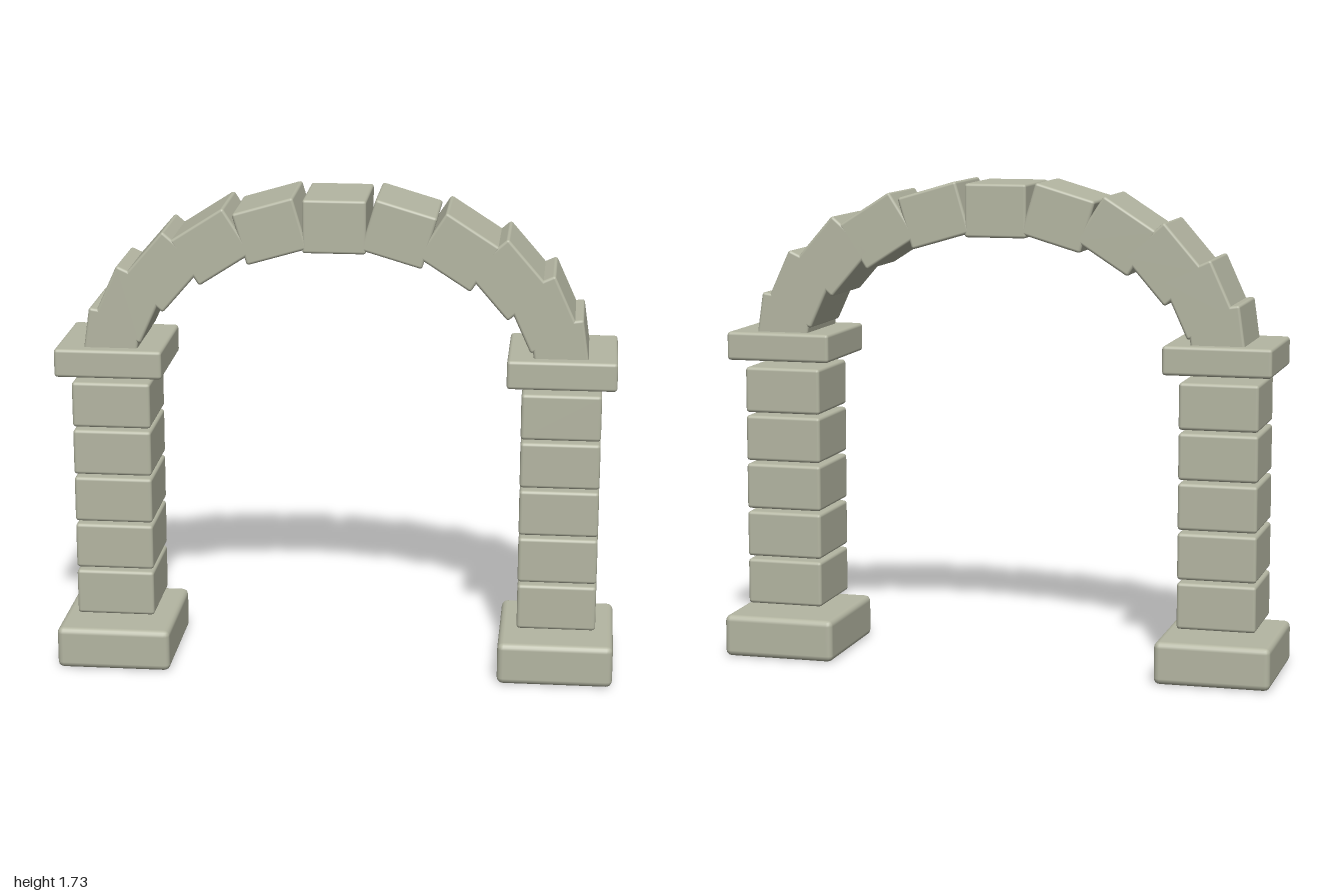
import * as THREE from 'three';
import { RoundedBoxGeometry } from 'three/addons/geometries/RoundedBoxGeometry.js';

export function createModel() {
  const group = new THREE.Group();
  group.name = 'stoneArch';
  const stone = new THREE.MeshStandardMaterial({ color: 0xb4b6a2 });
  stone.name = 'paleStone';

  // One softly bevelled block, centred at (x, y)
  const block = (parent, name, [w, h, d], bevel, x, y, tilt = 0) => {
    const mesh = new THREE.Mesh(new RoundedBoxGeometry(w, h, d, 2, bevel), stone);
    mesh.name = name;
    mesh.position.set(x, y, 0);
    mesh.rotation.z = tilt;
    parent.add(mesh);
  };

  // Two pillars: plinth, five separate courses and a cap
  for (const side of [-1, 1]) {
    const pillar = new THREE.Group();
    pillar.name = side > 0 ? 'leftPillar' : 'rightPillar';
    const x = side * 0.795;
    block(pillar, 'plinth', [0.41, 0.152, 0.47], 0.022, x, 0.08);
    for (let i = 0; i < 5; i++) {
      block(pillar, 'pillarBlock', [0.28, 0.165, 0.308], 0.012, x, 0.271 + i * 0.1762);
    }
    block(pillar, 'cap', [0.382, 0.102, 0.4], 0.012, x, 1.139);
    group.add(pillar);
  }

  // Eleven arch stones on a half ellipse, turned in equal steps
  const arch = new THREE.Group();
  arch.name = 'arch';
  const count = 11;
  for (let i = 0; i < count; i++) {
    const a = ((i + 0.5) / count - 0.5) * Math.PI;
    const name = i === (count - 1) / 2 ? 'keystone' : 'archStone';
    block(arch, name, [0.222, 0.188, 0.314], 0.01,
      0.795 * Math.sin(a), 1.138 + 0.5 * Math.cos(a), -a);
  }
  group.add(arch);

  // Rest the plinths on the ground
  group.position.y = -0.004;
  return group;
}
